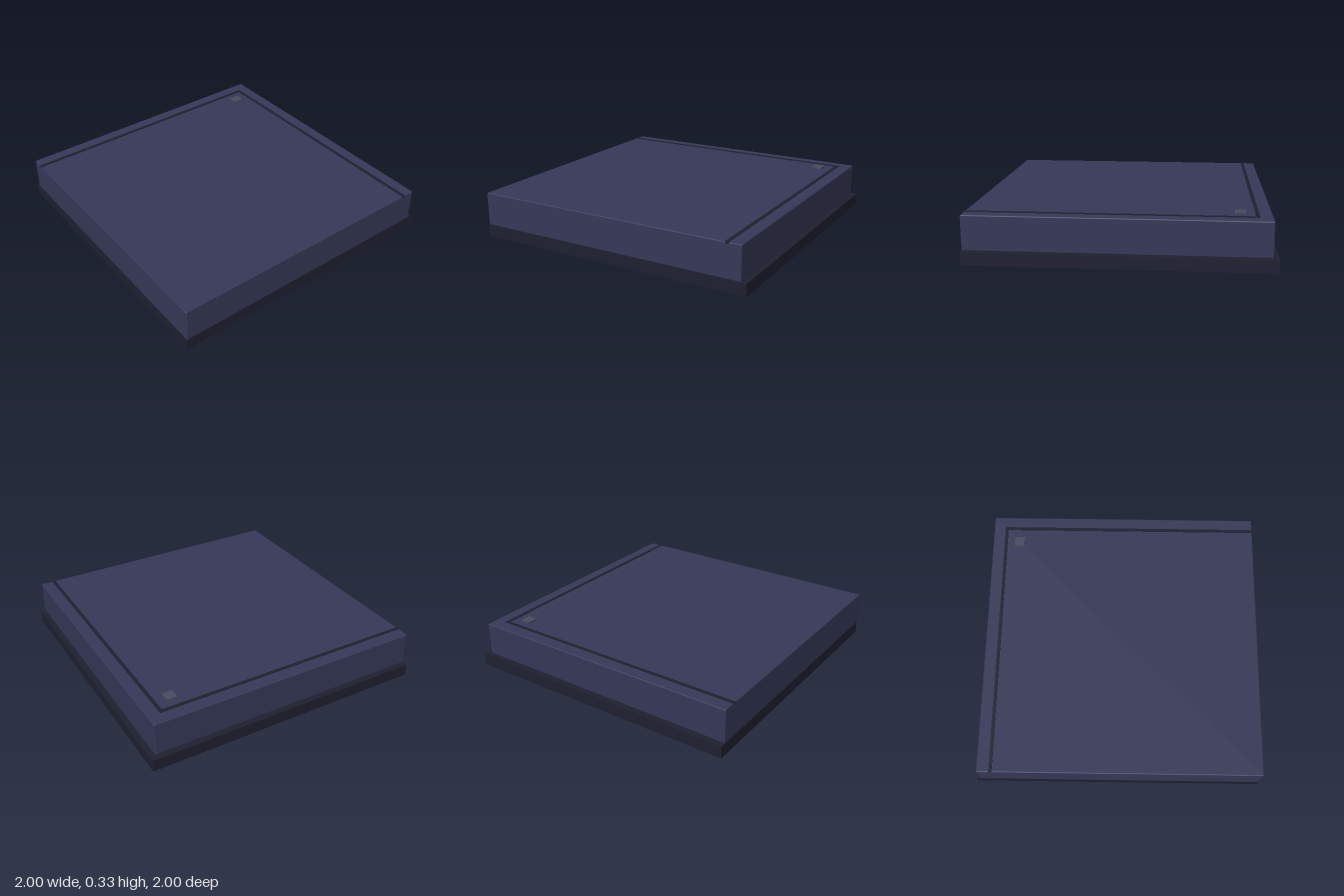
import * as THREE from 'three';
import { RoundedBoxGeometry } from 'three/addons/geometries/RoundedBoxGeometry.js';

const slabMat = new THREE.MeshStandardMaterial({ color: 0x363858 });
const darkMat = new THREE.MeshStandardMaterial({ color: 0x1f2030 });
const boltMat = new THREE.MeshStandardMaterial({ color: 0x4a4c5f });

// Box given by its min and max corners, with an optional softened edge
function block(name, material, min, max, radius = 0) {
  const size = max.map((v, i) => v - min[i]);
  const geometry = radius
    ? new RoundedBoxGeometry(...size, 2, radius)
    : new THREE.BoxGeometry(...size);
  const mesh = new THREE.Mesh(geometry, material);
  mesh.name = name;
  mesh.position.set(...max.map((v, i) => (v + min[i]) / 2));
  return mesh;
}

export function createModel() {
  const model = new THREE.Group();
  model.name = 'cornerFloorTile';

  // Base plinth, projecting past the slab on the back and left sides
  model.add(block('basePlinth', darkMat, [-1, 0, -1], [1, 0.085, 1]));

  // Thick slab, flush with the two joining sides
  model.add(block('slab', slabMat, [-1, 0.085, -0.965], [0.965, 0.321, 1], 0.008));

  // Inlay strips following the two outer edges
  model.add(block('backInlay', darkMat, [-1, 0.31, -0.88], [0.88, 0.325, -0.857]));
  model.add(block('sideInlay', darkMat, [0.857, 0.31, -0.857], [0.88, 0.325, 1]));

  // Square stud in the outer corner
  model.add(block('cornerStud', boltMat, [0.72, 0.31, -0.8], [0.792, 0.334, -0.728]));

  return model;
}
